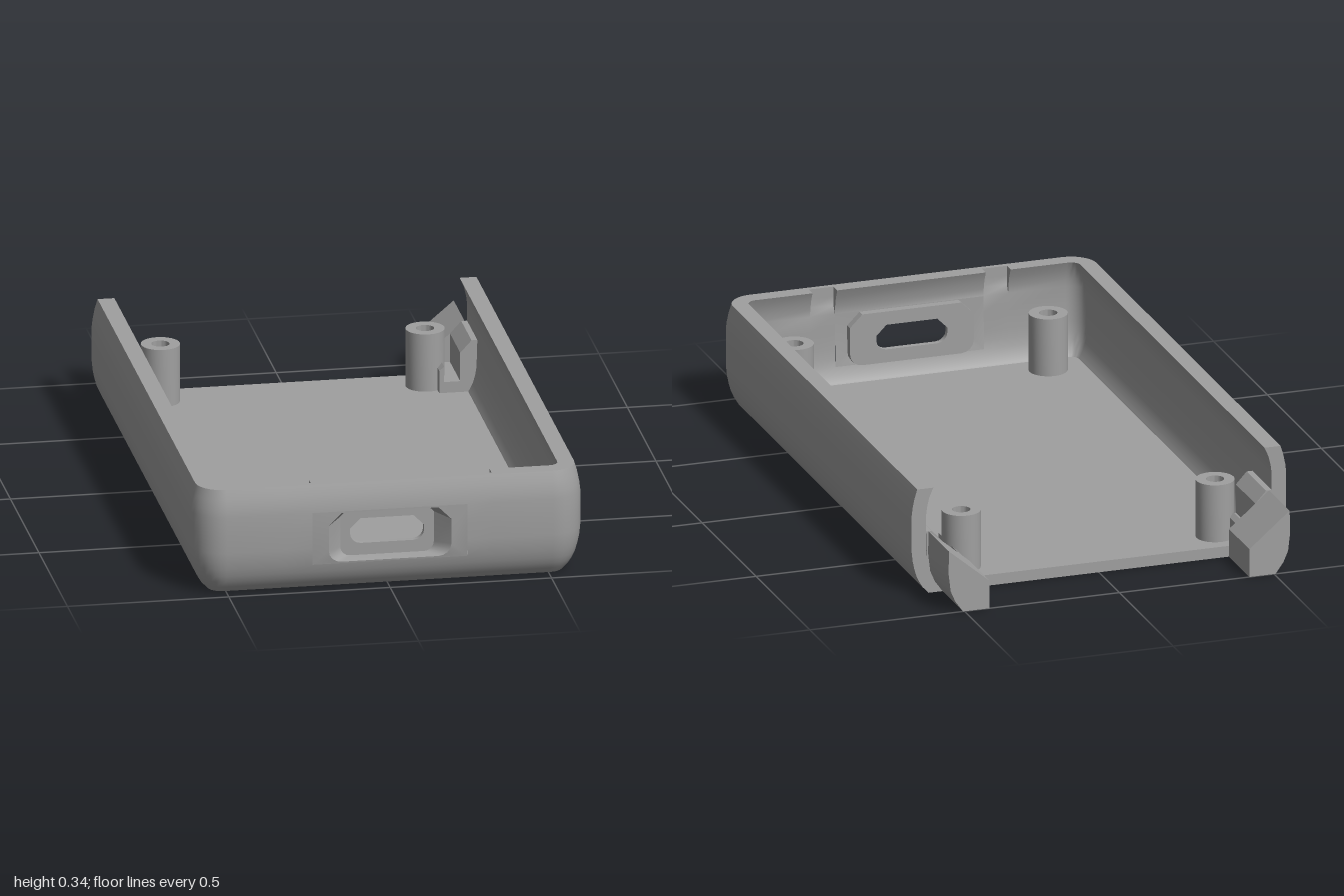
import * as THREE from 'three';
import { toCreasedNormals } from 'three/addons/utils/BufferGeometryUtils.js';

const CREASE = 0.6;
const HALF_W = 0.605, FRONT = 1, BACK = -0.81, CORNER = 0.1, FLOOR = 0.035;

// Wall section: height, outer inset, inner inset
const WALL = [
  [0, 0.055, 0.09], [0.02, 0.036, 0.085], [0.04, 0.024, 0.072], [0.06, 0.015, 0.062],
  [0.085, 0.008, 0.054], [0.11, 0.003, 0.05], [0.14, 0, 0.047], [0.2, 0, 0.047],
  [0.255, 0, 0.047], [0.28, 0.003, 0.05], [0.31, 0.009, 0.057], [0.34, 0.018, 0.07],
];
const PORT_LOW = 4, PORT_HIGH = 8, PORT_X = 0.24; // wall rows around the port

// Skin a grid of points, leaving out any cell that skip() picks
function skin(rows, skip = () => false) {
  const pos = [];
  for (let i = 0; i < rows.length - 1; i++) {
    for (let j = 0; j < rows[i].length - 1; j++) {
      if (skip(i, j)) continue;
      const a = rows[i][j], b = rows[i + 1][j], c = rows[i + 1][j + 1], d = rows[i][j + 1];
      pos.push(...a, ...b, ...c, ...a, ...c, ...d);
    }
  }
  const g = new THREE.BufferGeometry();
  g.setAttribute('position', new THREE.Float32BufferAttribute(pos, 3));
  return toCreasedNormals(g, CREASE);
}

// U-shaped plan path from the back of one side, round the front, to the other side
function planPath() {
  const path = [{ x: -HALF_W, z: BACK, nx: -1, nz: 0 }];
  const corner = (s, from, to) => {
    for (let k = 0; k <= 8; k++) {
      const t = from + (to - from) * k / 8, nx = Math.cos(t), nz = Math.sin(t);
      path.push({ x: s * (HALF_W - CORNER) + nx * CORNER, z: FRONT - CORNER + nz * CORNER, nx, nz });
    }
  };
  corner(-1, Math.PI, Math.PI / 2);
  for (const [x, notch] of [[-0.32, 0], [-0.32, 1], [-PORT_X, 1], [-PORT_X, 0],
    [PORT_X, 0], [PORT_X, 1], [0.32, 1], [0.32, 0]]) {
    path.push({ x, z: FRONT, nx: 0, nz: 1, notch });
  }
  corner(1, Math.PI / 2, 0);
  path.push({ x: HALF_W, z: BACK, nx: 1, nz: 0 });
  return path;
}

const inset = (p, y, d) => [p.x - p.nx * d, y, p.z - p.nz * d];

function wallGeometry(path) {
  const n = WALL.length;
  const rows = path.map((p) => [
    ...WALL.map(([y, o]) => inset(p, y, o)),
    ...WALL.map(([y, , d]) => inset(p, y, p.notch && y > 0.27 ? 0.035 : d)).reverse(),
  ]);
  const portCell = path.findIndex((p) => p.x === PORT_X && p.nz === 1) - 1;
  return skin(rows, (i, j) => i === portCell &&
    ((j >= PORT_LOW && j < PORT_HIGH) || (j >= 2 * n - 1 - PORT_HIGH && j < 2 * n - 1 - PORT_LOW)));
}

function wallEndGeometry(p) {
  const outer = WALL.map(([y, o]) => inset(p, y, o));
  const inner = WALL.map(([y, , d]) => inset(p, y, d));
  return skin(p.x > 0 ? [outer, inner] : [inner, outer]);
}

// Port outline: rounded lower corners and chamfered upper corners
function portRing(w, y0, y1, c, depth) {
  const half = [];
  for (let k = 0; k <= 4; k++) {
    const t = k / 4 * Math.PI / 2;
    half.push([w - c + c * Math.sin(t), y0 + c - c * Math.cos(t)]);
  }
  half.push([w, y1 - c], [w - c, y1]);
  const ring = [...half, ...half.map(([x, y]) => [-x, y]).reverse()].reverse();
  ring.push(ring[0]);
  return ring.map(([x, y]) => [x, y, FRONT - (typeof depth === 'function' ? depth(y) : depth)]);
}

function portGeometry() {
  const low = WALL[PORT_LOW][0], high = WALL[PORT_HIGH][0];
  const column = (k) => (y) => {
    const i = Math.max(1, WALL.findIndex((r) => r[0] >= y - 1e-6));
    const a = WALL[i - 1], b = WALL[i];
    return a[k] + (b[k] - a[k]) * (y - a[0]) / (b[0] - a[0]);
  };
  return skin([
    portRing(PORT_X, low, high, 0, column(1)),
    portRing(0.19, 0.09, 0.25, 0.04, column(1)),
    portRing(0.145, 0.092, 0.249, 0.03, 0.055),
    portRing(0.115, 0.13, 0.21, 0.033, 0.055),
    portRing(0.115, 0.13, 0.21, 0.033, 0.073),
    portRing(0.2, 0.088, 0.253, 0.04, 0.073),
    portRing(0.2, 0.088, 0.253, 0.04, column(2)),
    portRing(PORT_X, low, high, 0, column(2)),
  ]);
}

// Prism with an x-y section, running along z
function prism(points, side, z0, z1) {
  const shape = new THREE.Shape(points.map(([x, y]) => new THREE.Vector2(side * x, y)));
  const g = new THREE.ExtrudeGeometry(shape, { depth: z1 - z0, bevelEnabled: false });
  g.translate(0, 0, z0);
  return toCreasedNormals(g, CREASE);
}

export function createModel() {
  const group = new THREE.Group();
  group.name = 'enclosureHalf';
  const plastic = new THREE.MeshStandardMaterial({ color: 0xa0a0a0 });
  plastic.name = 'grey plastic';
  const add = (name, geometry) => {
    const mesh = new THREE.Mesh(geometry, plastic);
    mesh.name = name;
    group.add(mesh);
    return mesh;
  };

  // Curved wall on three sides, its open ends and the cable port
  const path = planPath();
  add('wall', wallGeometry(path));
  for (const p of [path[0], path[path.length - 1]]) add('wallEnd', wallEndGeometry(p));
  add('cablePort', portGeometry());

  // Floor plate with four screw holes
  const posts = [[-0.41, -0.71], [0.41, -0.71], [-0.41, 0.84], [0.41, 0.84]];
  const outline = path.map((p) => inset(p, 0, WALL[0][1]));
  const plate = new THREE.Shape(outline.map(([x, , z]) => new THREE.Vector2(x, -z)));
  for (const [x, z] of posts) plate.holes.push(new THREE.Path().absarc(x, -z, 0.048, 0, Math.PI * 2, true));
  const floor = new THREE.ExtrudeGeometry(plate, { depth: FLOOR, bevelEnabled: false, curveSegments: 16 });
  floor.rotateX(-Math.PI / 2);
  add('floor', toCreasedNormals(floor, CREASE));

  // Hollow screw posts with countersunk undersides
  const postProfile = [[0.06, 0.03], [0.06, 0.22], [0.028, 0.22], [0.028, 0.033], [0.048, 0.015], [0.048, 0]]
    .map(([r, y]) => new THREE.Vector2(r, y));
  const postGeometry = toCreasedNormals(new THREE.LatheGeometry(postProfile, 32), CREASE);
  for (const [x, z] of posts) add('screwPost', postGeometry).position.set(x, 0, z);

  // Rear locating tabs and the channelled blocks that carry them
  const tab = [[0.42, 0], [0.505, 0], [0.53, 0.035], [0.545, 0.07], [0.552, 0.13], [0.55, 0.2], [0.42, 0.09]];
  const block = [[0.44, 0.034], [0.54, 0.034], [0.555, 0.1], [0.558, 0.2], [0.54, 0.2],
    [0.505, 0.162], [0.505, 0.07], [0.455, 0.07], [0.455, 0.12], [0.44, 0.107]];
  for (const side of [-1, 1]) {
    add('rearTab', prism(tab, side, -1, BACK));
    add('tabBlock', prism(block, side, BACK, -0.63));
  }
  return group;
}
